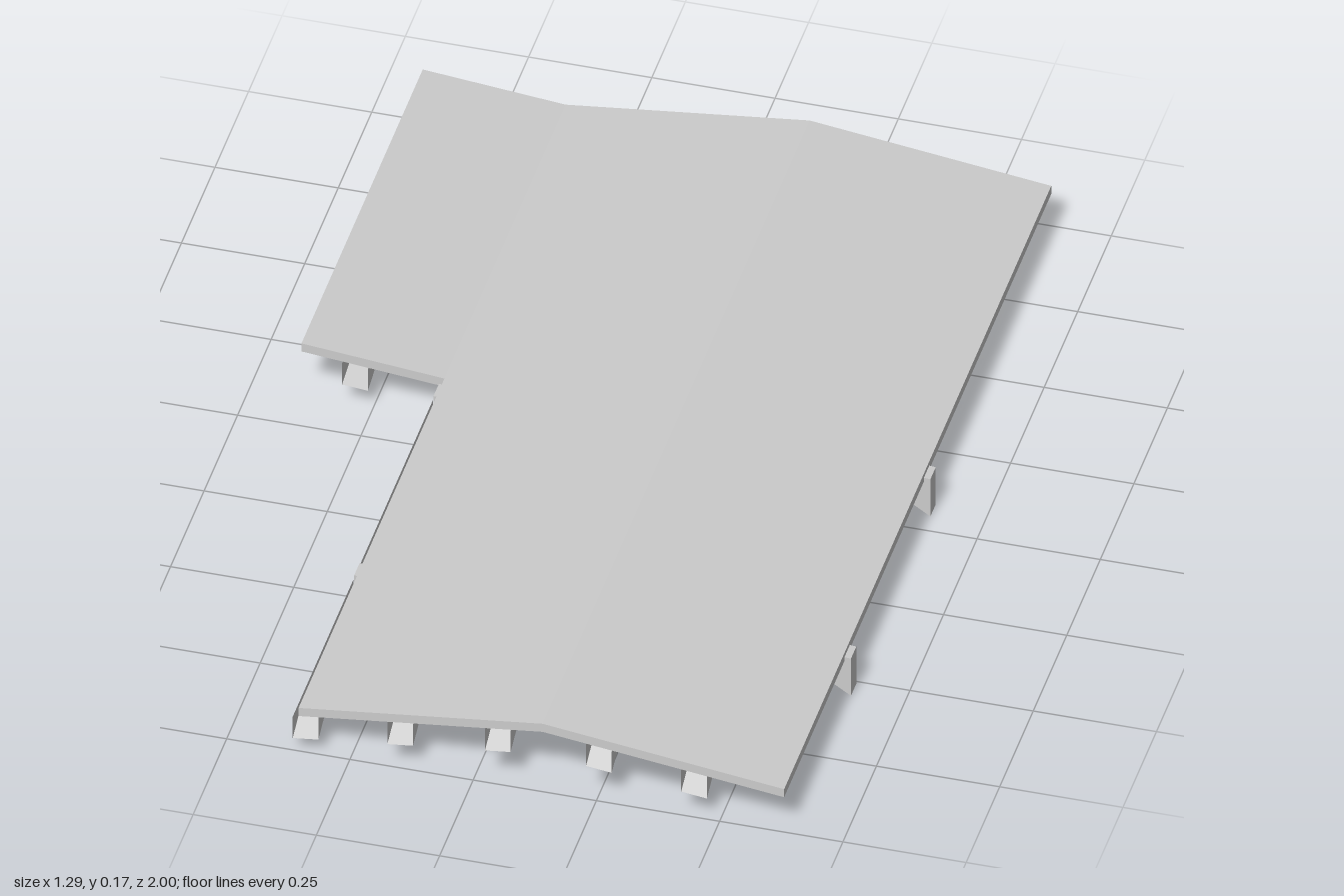
import * as THREE from 'three';

const grey = new THREE.MeshStandardMaterial({ color: 0xcccccc, flatShading: true });
const sheet = new THREE.MeshStandardMaterial({ color: 0xcccccc, flatShading: true, side: THREE.DoubleSide });

// Extrude an x-y outline from z0 to z1
function slab(name, points, z0, z1) {
  const shape = new THREE.Shape(points.map(([x, y]) => new THREE.Vector2(x, y)));
  const geo = new THREE.ExtrudeGeometry(shape, { depth: z1 - z0, bevelEnabled: false });
  geo.translate(0, 0, z0);
  const mesh = new THREE.Mesh(geo, grey);
  mesh.name = name;
  return mesh;
}

// Height of the deck underside at x
const RIDGE = 0.14, VALLEY = -0.355;
function underside(x) {
  if (x < VALLEY) return 0.084 + (VALLEY - x) * 0.0966;
  return 0.146 - Math.abs(x - RIDGE) * 0.1255;
}

// Thin open U-channel along z, deepened by a ramp at each end of its span
function channel(x, z0, z1) {
  const half = 0.026, ramp = (z1 - z0) * 0.1;
  const slope = (underside(x + 0.01) - underside(x - 0.01)) / 0.02;
  const stations = [[z0, 0.053], [z0 + ramp, 0.029], [z1 - ramp, 0.029], [z1, 0.053]];
  const pos = [], index = [];
  for (const [z, depth] of stations) {
    for (const [side, d] of [[-1, 0], [-1, depth], [1, depth], [1, 0]]) {
      pos.push(x + side * half, underside(x) + side * half * slope - d, z);
    }
  }
  for (let s = 0; s < 3; s++) {
    for (let k = 0; k < 3; k++) {
      const a = s * 4 + k, b = a + 1, c = a + 4, d = a + 5;
      index.push(a, b, c, b, d, c);
    }
  }
  let geo = new THREE.BufferGeometry();
  geo.setAttribute('position', new THREE.Float32BufferAttribute(pos, 3));
  geo.setIndex(index);
  geo = geo.toNonIndexed();
  geo.computeVertexNormals();
  const mesh = new THREE.Mesh(geo, sheet);
  mesh.name = 'longitudinalBeam';
  return mesh;
}

export function createModel() {
  const group = new THREE.Group();
  group.name = 'deck';

  // Ridged main deck and the shorter side deck
  const t = 0.02;
  group.add(slab('mainDeck', [
    [VALLEY, 0.084], [RIDGE, 0.146], [0.63, 0.084],
    [0.63, 0.084 + t], [RIDGE, 0.146 + t], [VALLEY, 0.084 + t],
  ], -0.994, 0.997));
  group.add(slab('sideDeck', [
    [-0.645, 0.112], [VALLEY, 0.084], [VALLEY, 0.084 + t], [-0.645, 0.112 + t],
  ], -0.994, -0.09));

  // Cross girders with haunched ends and a block under the ridge
  const girder = [
    [-0.365, 0.002], [-0.31, 0.036], [0.06, 0.078], [0.112, 0.062], [0.112, 0.045],
    [0.167, 0.045], [0.167, 0.062], [0.22, 0.078], [0.588, 0.036], [0.643, 0],
    [0.643, 0.092], [RIDGE, 0.15], [-0.365, 0.092],
  ];
  const bays = [[-1, -0.085], [-0.045, 0.507], [0.547, 1]];
  for (let i = 0; i < 2; i++) {
    group.add(slab('crossGirder', girder, bays[i][1], bays[i + 1][0]));
  }

  // Longitudinal beams in every bay; the side deck only spans the rear bay
  for (const x of [-0.535, -0.34, -0.148, 0.05, 0.255, 0.448]) {
    for (const [z0, z1] of x < -0.5 ? bays.slice(0, 1) : bays) {
      group.add(channel(x, z0, z1));
    }
  }
  return group;
}
